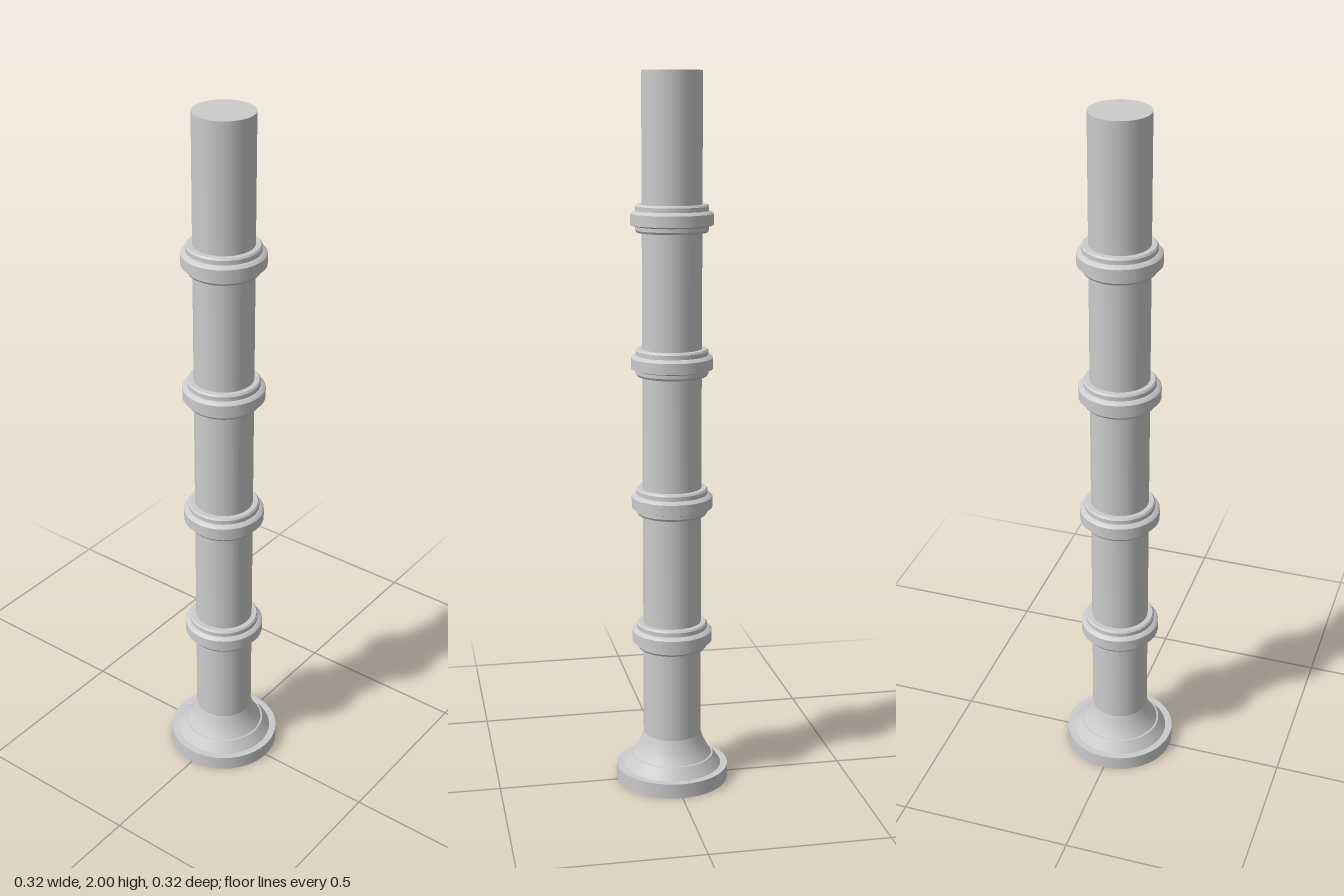
import * as THREE from 'three';
import { toCreasedNormals } from 'three/addons/utils/BufferGeometryUtils.js';

const SIDES = 40;
const material = new THREE.MeshStandardMaterial({ color: 0xcccccc });

// Turned part from a [radius, height] profile running bottom to top
function turned(name, profile) {
  const points = profile.map(([r, y]) => new THREE.Vector2(r, y));
  const geometry = toCreasedNormals(new THREE.LatheGeometry(points, SIDES), 0.45);
  const mesh = new THREE.Mesh(geometry, material);
  mesh.name = name;
  return mesh;
}

export function createModel() {
  const group = new THREE.Group();
  group.name = 'ringedColumn';

  // Round plinth with a sloped shoulder
  group.add(turned('base', [
    [0, 0], [0.16, 0], [0.16, 0.042], [0.14, 0.042], [0.118, 0.074], [0.08, 0.074],
  ]));

  // Concave flare from the plinth into the shaft
  group.add(turned('flare', [
    [0.113, 0.074], [0.101, 0.092], [0.091, 0.113], [0.082, 0.14],
  ]));

  // Plain shaft with a flat top
  group.add(turned('shaft', [[0.082, 0.07], [0.082, 2], [0, 2]]));

  // Four evenly spaced collars: a wide band between two narrower lips
  for (let i = 0; i < 4; i++) {
    const collar = turned('collar' + (i + 1), [
      [0.081, -0.036], [0.096, -0.036], [0.1, -0.03], [0.1, -0.02],
      [0.113, -0.016], [0.113, 0.014],
      [0.108, 0.019], [0.1, 0.022], [0.1, 0.034], [0.096, 0.039], [0.081, 0.039],
    ]);
    collar.position.y = 0.434 + i * 0.392;
    group.add(collar);
  }

  return group;
}
